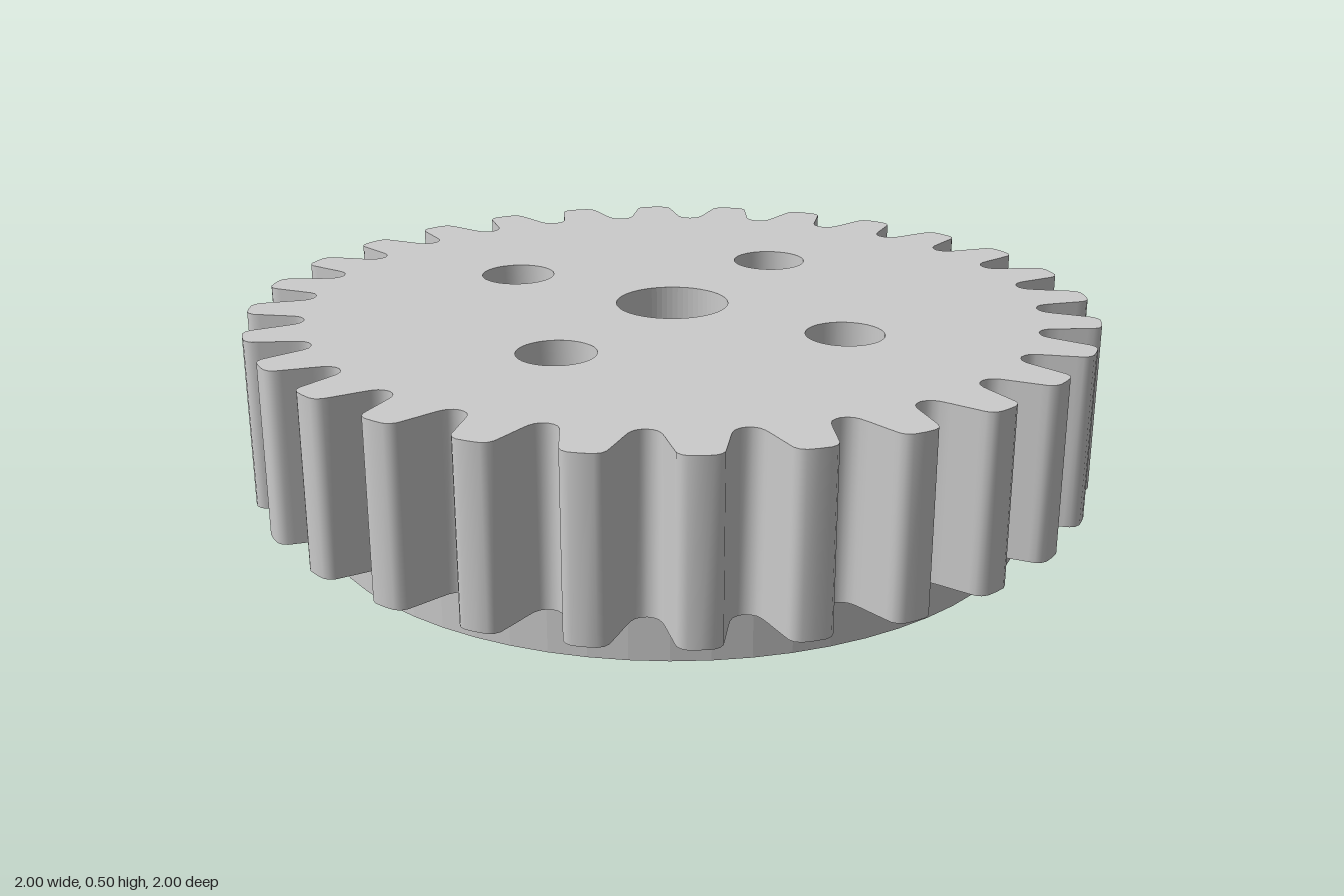
import * as THREE from 'three';
import { toCreasedNormals } from 'three/addons/utils/BufferGeometryUtils.js';

const TEETH = 28, SEGMENTS = 64;
const TOP = 0.5, GEAR_BOTTOM = 0.1, WEB_BOTTOM = 0.28, RECESS_TOP = 0.365;
const R_RIM = 0.857, R_CAVITY = 0.705, R_RECESS = 0.27, R_BORE = 0.133;
const R_BOLT = 0.09, R_BOLT_CIRCLE = 0.463;

// Plan coordinates: x is right, y is towards the back (-z)
function circle(r, cx = 0, cy = 0, n = SEGMENTS) {
  return Array.from({ length: n }, (_, i) => {
    const a = (i / n) * Math.PI * 2;
    return new THREE.Vector2(cx + r * Math.cos(a), cy + r * Math.sin(a));
  });
}

// Rounded teeth, each from a mirrored half profile of [half width, radius]
function toothOutline() {
  const half = [[0.084, 0.864], [0.074, 0.871], [0.067, 0.884], [0.062, 0.905],
    [0.056, 0.935], [0.049, 0.968], [0.046, 0.982], [0.038, 0.993], [0.025, 0.999]];
  const profile = [
    ...half.map(([w, r]) => [w, r]), [0, 1],
    ...half.slice().reverse().map(([w, r]) => [-w, r]),
  ];
  const pitch = (Math.PI * 2) / TEETH, points = [];
  for (let i = 0; i < TEETH; i++) {
    const centre = THREE.MathUtils.degToRad(89.4) + i * pitch;
    for (const [w, r] of profile) {
      const a = centre - w / r;
      points.push(new THREE.Vector2(r * Math.cos(a), r * Math.sin(a)));
    }
    const root = centre + pitch / 2;
    points.push(new THREE.Vector2(0.861 * Math.cos(root), 0.861 * Math.sin(root)));
  }
  return points;
}

// Vertical wall along a closed counter-clockwise outline
function wall(points, y0, y1, inward = false) {
  const positions = [], index = [], n = points.length;
  points.forEach((p, i) => {
    positions.push(p.x, y0, -p.y, p.x, y1, -p.y);
    const a = 2 * i, b = 2 * ((i + 1) % n);
    index.push(a, b, b + 1, a, b + 1, a + 1);
  });
  if (inward) index.reverse();
  const g = new THREE.BufferGeometry();
  g.setAttribute('position', new THREE.Float32BufferAttribute(positions, 3));
  g.setIndex(index);
  return toCreasedNormals(g, 0.6);
}

// Flat horizontal face with holes
function face(outline, holes, y, down = false) {
  const shape = new THREE.Shape(outline);
  shape.holes = holes.map((h) => new THREE.Path(h));
  const g = new THREE.ShapeGeometry(shape);
  g.rotateX(-Math.PI / 2).translate(0, y, 0);
  if (down) {
    g.index.array.reverse();
    g.computeVertexNormals();
  }
  return g;
}

function lathe(profile) {
  return new THREE.LatheGeometry(profile.map(([r, y]) => new THREE.Vector2(r, y)), SEGMENTS);
}

export function createModel() {
  const model = new THREE.Group();
  model.name = 'spurGear';
  const smooth = new THREE.MeshStandardMaterial({ color: 0xcccccc });
  const faceted = new THREE.MeshStandardMaterial({ color: 0xcccccc, flatShading: true });
  const add = (name, geometry, material = smooth) => {
    const mesh = new THREE.Mesh(geometry, material);
    mesh.name = name;
    model.add(mesh);
  };

  const teeth = toothOutline();
  const boltHoles = [0, 1, 2, 3].map((i) => {
    const a = THREE.MathUtils.degToRad(40.5 + 90 * i);
    return circle(R_BOLT, R_BOLT_CIRCLE * Math.cos(a), R_BOLT_CIRCLE * Math.sin(a), 32);
  });

  // Toothed ring
  add('teeth', wall(teeth, GEAR_BOTTOM, TOP));
  add('topFace', face(teeth, [circle(R_BORE), ...boltHoles], TOP));
  add('teethUnderside', face(teeth, [circle(R_RIM)], GEAR_BOTTOM, true));

  // Hollow rim below the teeth
  add('lowerRim', lathe([[R_CAVITY, WEB_BOTTOM], [R_CAVITY, 0], [R_RIM, 0],
    [R_RIM, GEAR_BOTTOM]]), faceted);

  // Web inside the cavity, with its bolt holes
  add('webUnderside', face(circle(R_CAVITY), [circle(R_RECESS), ...boltHoles], WEB_BOTTOM, true));
  for (const hole of boltHoles) add('boltHole', wall(hole, WEB_BOTTOM, TOP, true));

  // Shaft bore with a wider recess underneath
  add('shaftBore', lathe([[R_BORE, TOP], [R_BORE, RECESS_TOP], [R_RECESS, RECESS_TOP],
    [R_RECESS, WEB_BOTTOM]]), faceted);

  return model;
}
